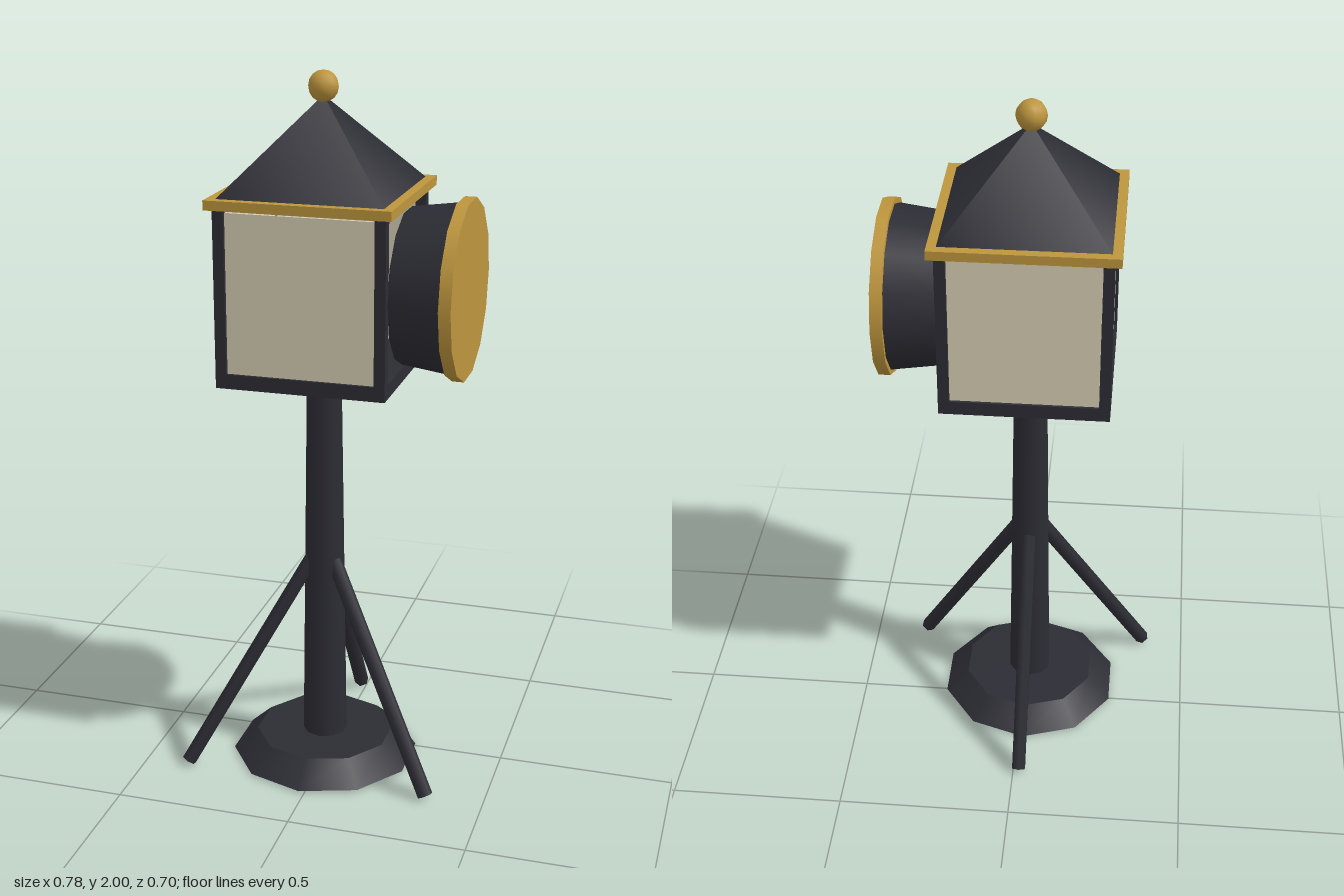
import * as THREE from 'three';

export function createModel() {
  const iron = new THREE.MeshStandardMaterial({ name: 'dark iron', color: 0x2c2c34 });
  const brass = new THREE.MeshStandardMaterial({ name: 'brass', color: 0xbd953d });
  const glass = new THREE.MeshStandardMaterial({ name: 'cream glass', color: 0xd6cdb3 });

  const model = new THREE.Group();
  model.name = 'lanternOnTripod';
  // everything is built around the post axis, which sits off the centre
  const body = new THREE.Group();
  body.name = 'lantern';
  body.position.set(-0.017, 0, 0.077);
  model.add(body);

  const add = (name, geometry, material, x = 0, y = 0, z = 0, parent = body) => {
    const mesh = new THREE.Mesh(geometry, material);
    mesh.name = name;
    mesh.position.set(x, y, z);
    parent.add(mesh);
    return mesh;
  };

  // stand
  add('base', new THREE.CylinderGeometry(0.2, 0.27, 0.065, 10), iron, 0, 0.0375);
  add('post', new THREE.CylinderGeometry(0.048, 0.064, 1.13, 10), iron, 0, 0.62);

  // three splayed legs, the first pointing straight back
  const foot = new THREE.Vector3(0, 0.013, -0.41);
  const hip = new THREE.Vector3(0, 0.62, -0.038);
  const along = hip.clone().sub(foot);
  for (let i = 0; i < 3; i++) {
    const pivot = new THREE.Group();
    pivot.name = 'legPivot' + (i + 1);
    pivot.rotation.y = (i * Math.PI * 2) / 3;
    body.add(pivot);
    const mid = foot.clone().add(hip).multiplyScalar(0.5);
    const leg = add('leg' + (i + 1), new THREE.CylinderGeometry(0.022, 0.022, along.length(), 6), iron, mid.x, mid.y, mid.z, pivot);
    leg.quaternion.setFromUnitVectors(new THREE.Vector3(0, 1, 0), along.clone().normalize());
  }

  // lamp housing: floor, corner posts, glass on three sides
  add('housingFloor', new THREE.BoxGeometry(0.466, 0.04, 0.466), iron, 0, 1.2);
  for (const sx of [-1, 1]) {
    for (const sz of [-1, 1]) {
      add('cornerPost', new THREE.BoxGeometry(0.03, 0.45, 0.03), iron, sx * 0.218, 1.443, sz * 0.218);
    }
  }
  const pane = new THREE.BoxGeometry(0.404, 0.435, 0.01);
  add('frontPane', pane, glass, 0, 1.4375, 0.22);
  add('backPane', pane, glass, 0, 1.4375, -0.22);
  add('rightPane', pane, glass, -0.22, 1.4375, 0).rotation.y = Math.PI / 2;

  // roof
  add('roofTrim', new THREE.BoxGeometry(0.502, 0.026, 0.502), brass, 0, 1.677);
  add('roof', new THREE.ConeGeometry(0.225 * Math.SQRT2, 0.245, 4), iron, 0, 1.8125).rotation.y = Math.PI / 4;
  add('finial', new THREE.SphereGeometry(0.042, 10, 8), brass, 0, 1.958);

  // flared lens hood on the left side with its brass cover
  add('lensHood', new THREE.CylinderGeometry(0.212, 0.231, 0.142, 14), iron, 0.303, 1.437).rotation.z = Math.PI / 2;
  add('lensCover', new THREE.CylinderGeometry(0.246, 0.246, 0.033, 14), brass, 0.389, 1.437).rotation.z = Math.PI / 2;

  return model;
}
